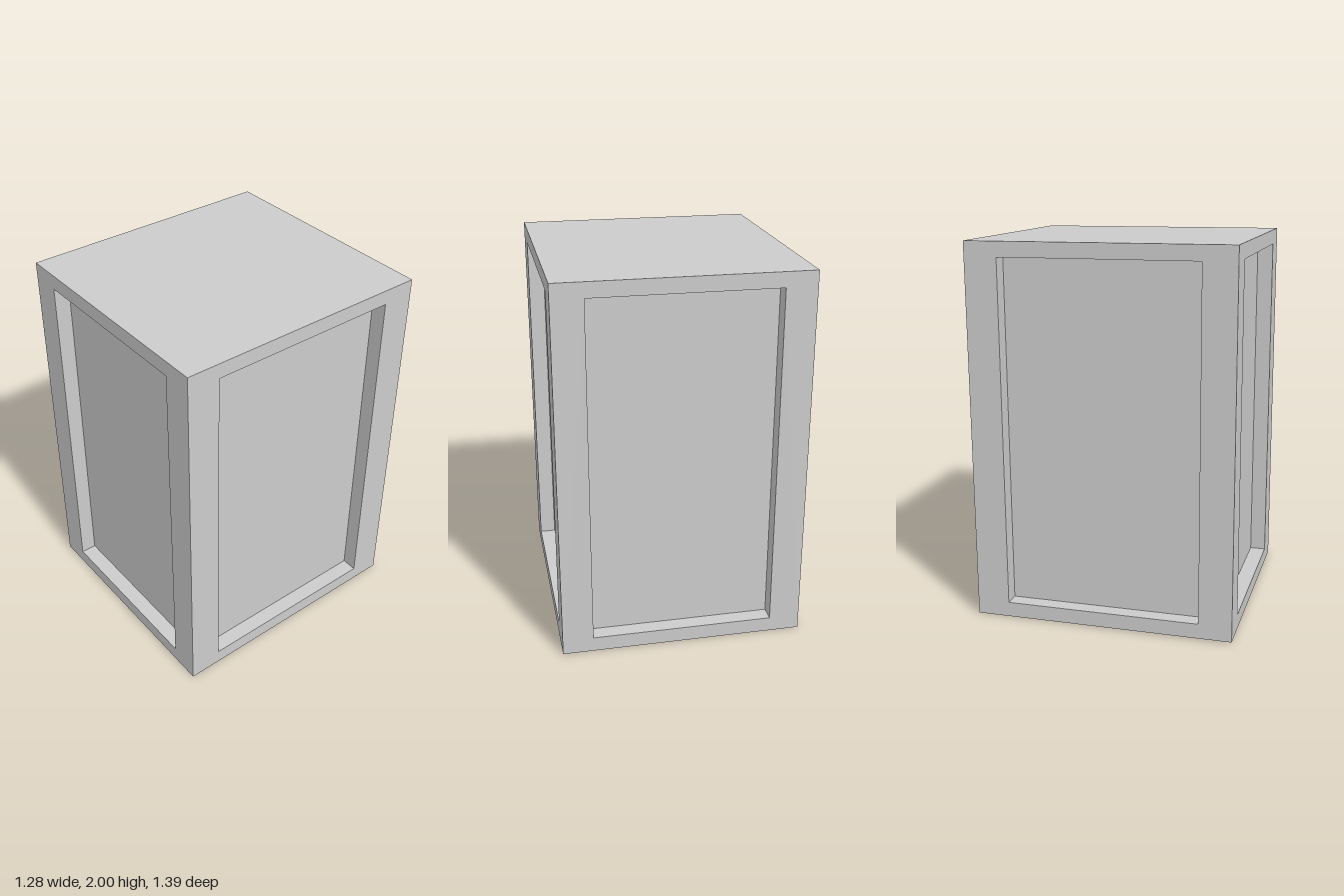
import * as THREE from 'three';

const W = 1.284, H = 1.992, D = 1.382; // outer size
const RECESS = 0.085, OPEN_H = 1.834;  // recess depth and height
const TILT = -0.0055;                  // the box leans back very slightly

const material = new THREE.MeshStandardMaterial({ color: 0xcccccc, flatShading: true });

function add(parent, name, geometry) {
  const mesh = new THREE.Mesh(geometry, material);
  mesh.name = name;
  parent.add(mesh);
  return mesh;
}

function rectangle(PathType, w, h) {
  return new PathType([[-1, -1], [1, -1], [1, 1], [-1, 1]]
    .map(([x, y]) => new THREE.Vector2(x * w / 2, y * h / 2)));
}

// One wall facing +z: flat border, four reveals and a sunken panel
function createWall(name, width, openWidth) {
  const wall = new THREE.Group();
  wall.name = name;

  const border = rectangle(THREE.Shape, width, H);
  border.holes.push(rectangle(THREE.Path, openWidth, OPEN_H));
  add(wall, 'border', new THREE.ShapeGeometry(border));

  add(wall, 'sunkenPanel', new THREE.PlaneGeometry(openWidth, OPEN_H)).position.z = -RECESS;

  for (const s of [-1, 1]) {
    const jamb = add(wall, 'sideReveal', new THREE.PlaneGeometry(RECESS, OPEN_H));
    jamb.position.set(s * openWidth / 2, 0, -RECESS / 2);
    jamb.rotation.y = -s * Math.PI / 2;

    const sill = add(wall, s < 0 ? 'bottomReveal' : 'topReveal', new THREE.PlaneGeometry(openWidth, RECESS));
    sill.position.set(0, s * OPEN_H / 2, -RECESS / 2);
    sill.rotation.x = s * Math.PI / 2;
  }
  return wall;
}

export function createModel() {
  const model = new THREE.Group();
  model.name = 'panelledBox';

  const body = new THREE.Group();
  body.name = 'body';
  body.position.y = 1;
  body.rotation.x = TILT;
  model.add(body);

  // Four recessed walls
  ['frontWall', 'leftWall', 'backWall', 'rightWall'].forEach((name, i) => {
    const onSide = i % 2 === 1;
    const wall = createWall(name, onSide ? D : W, onSide ? 1.034 : 0.96);
    const angle = i * Math.PI / 2;
    wall.rotation.y = angle;
    wall.position.set(Math.sin(angle) * W / 2, 0, Math.cos(angle) * D / 2);
    body.add(wall);
  });

  // Plain top and bottom
  for (const s of [-1, 1]) {
    const cap = add(body, s < 0 ? 'bottom' : 'top', new THREE.PlaneGeometry(W, D));
    cap.position.y = s * H / 2;
    cap.rotation.x = -s * Math.PI / 2;
  }
  return model;
}
